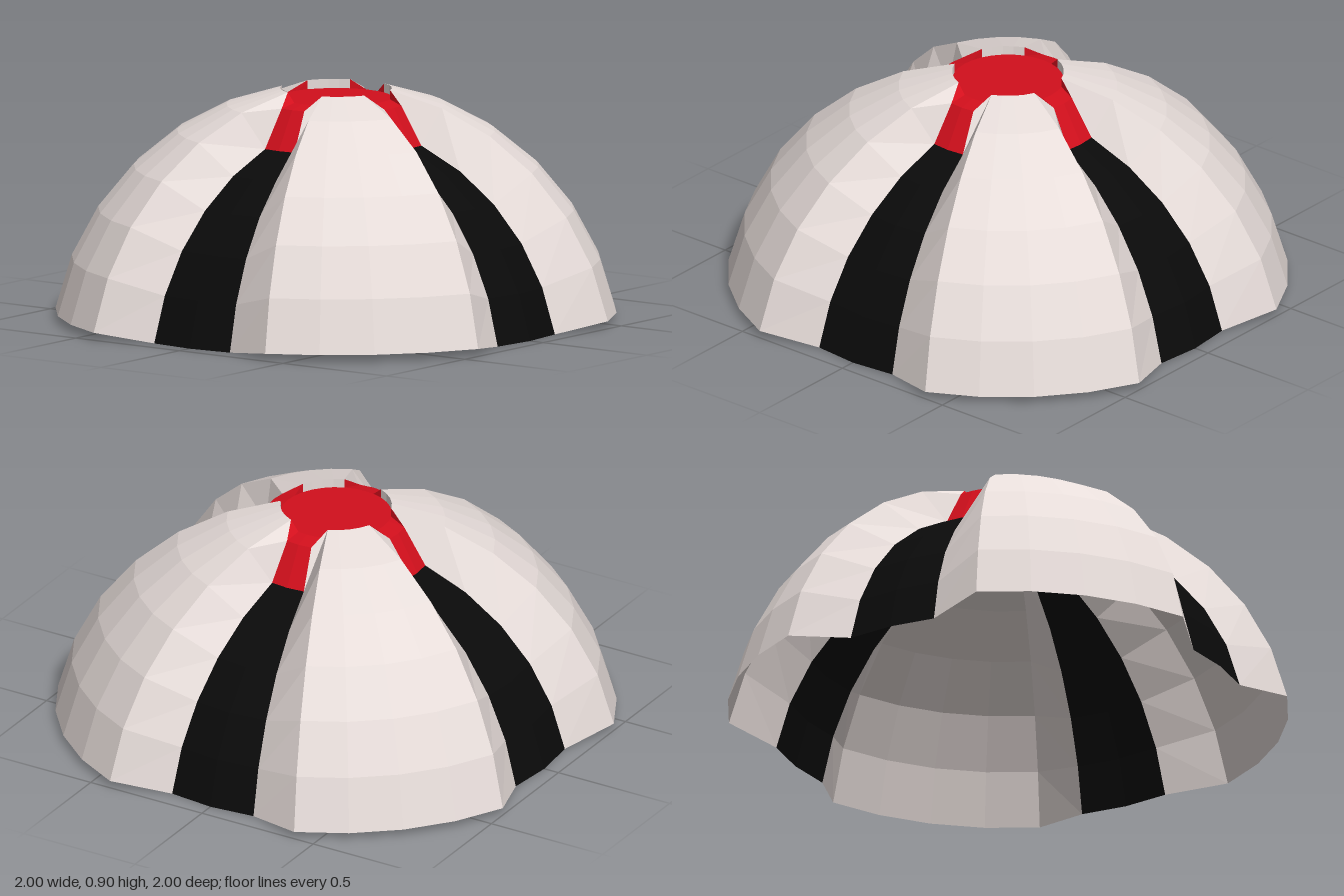
import * as THREE from 'three';

const STEP = Math.PI / 16;        // one facet, around and up
const CENTRE_Y = -0.186;          // shared centre of both spheres
const LOBE_R = 1.103, GROOVE_R = 0.955;
const DISC_R = 0.215, DISC_Y = 0.86;
const ROWS = [0, 1, 2, 3, 4, 5, 6];

const material = (color) =>
  new THREE.MeshStandardMaterial({ color, flatShading: true, side: THREE.DoubleSide });

// Point at radius r, height y, and k facets round from the front
const polar = (r, y, k) => [r * Math.sin(k * STEP), y, r * Math.cos(k * STEP)];

// Point on a sphere, row 0 at the hem and row 6 at the crown
const onSphere = (R, row, k) => {
  const a = (row + 1) * STEP;
  return polar(R * Math.cos(a), CENTRE_Y + R * Math.sin(a), k);
};

const lobePoint = (row, k) => onSphere(LOBE_R, row, k);
// The groove floor kicks up at its last row to reach the cap
const groovePoint = (row, k) =>
  row === 6 ? polar(0.28, 0.845, k) : onSphere(GROOVE_R, row, k);

// Quad surface through rows of points (upwards), columns running anticlockwise
function surface(name, rows, mat) {
  const cols = rows[0].length;
  const index = [];
  for (let i = 0; i < rows.length - 1; i++) {
    for (let j = 0; j < cols - 1; j++) {
      const a = i * cols + j, b = a + 1, c = a + cols, d = c + 1;
      index.push(a, b, d, a, d, c);
    }
  }
  const indexed = new THREE.BufferGeometry();
  indexed.setAttribute('position', new THREE.Float32BufferAttribute(rows.flat(2), 3));
  indexed.setIndex(index);
  const geometry = indexed.toNonIndexed();
  geometry.computeVertexNormals();
  const mesh = new THREE.Mesh(geometry, mat);
  mesh.name = name;
  return mesh;
}

export function createModel() {
  const model = new THREE.Group();
  model.name = 'dome';
  const white = material(0xe6dcd9);
  const black = material(0x0a0a0a);
  const red = material(0xd20f1c);

  for (let q = 0; q < 4; q++) {
    const quarter = new THREE.Group();
    quarter.name = 'quarter' + (q + 1);
    quarter.rotation.y = q * Math.PI / 2;

    // Bulging lobe, centred on the diagonal
    const lobeCols = [2, 3, 4, 5, 6];
    quarter.add(surface('lobe', ROWS.map((r) => lobeCols.map((k) => lobePoint(r, k))), white));

    // Short lip from the lobe's top edge down to the cap
    quarter.add(surface('lobeLip', [
      lobeCols.map((k) => lobePoint(6, k)),
      lobeCols.map((k) => polar(DISC_R, DISC_Y, k)),
    ], white));

    // Sloping walls either side of the groove
    quarter.add(surface('grooveWallLeft',
      ROWS.map((r) => [groovePoint(r, 1), lobePoint(r, 2)]), white));
    quarter.add(surface('grooveWallRight',
      ROWS.map((r) => [lobePoint(r, -2), groovePoint(r, -1)]), white));

    // Groove floor: black stripe with a red top
    const floor = (rows) => rows.map((r) => [-1, 0, 1].map((k) => groovePoint(r, k)));
    quarter.add(surface('stripe', floor([0, 1, 2, 3, 4, 5]), black));
    quarter.add(surface('stripeTop', floor([5, 6]), red));

    // Red collar closing the groove against the cap
    quarter.add(surface('collar', [
      [lobePoint(6, -2), ...floor([6])[0], lobePoint(6, 2)],
      [-2, -1, 0, 1, 2].map((k) => polar(DISC_R, DISC_Y, k)),
    ], red));

    model.add(quarter);
  }

  // Flat cap on the crown
  const cap = new THREE.Mesh(new THREE.CircleGeometry(DISC_R, 32), red);
  cap.name = 'cap';
  cap.rotation.x = -Math.PI / 2;
  cap.position.y = DISC_Y;
  model.add(cap);

  return model;
}
